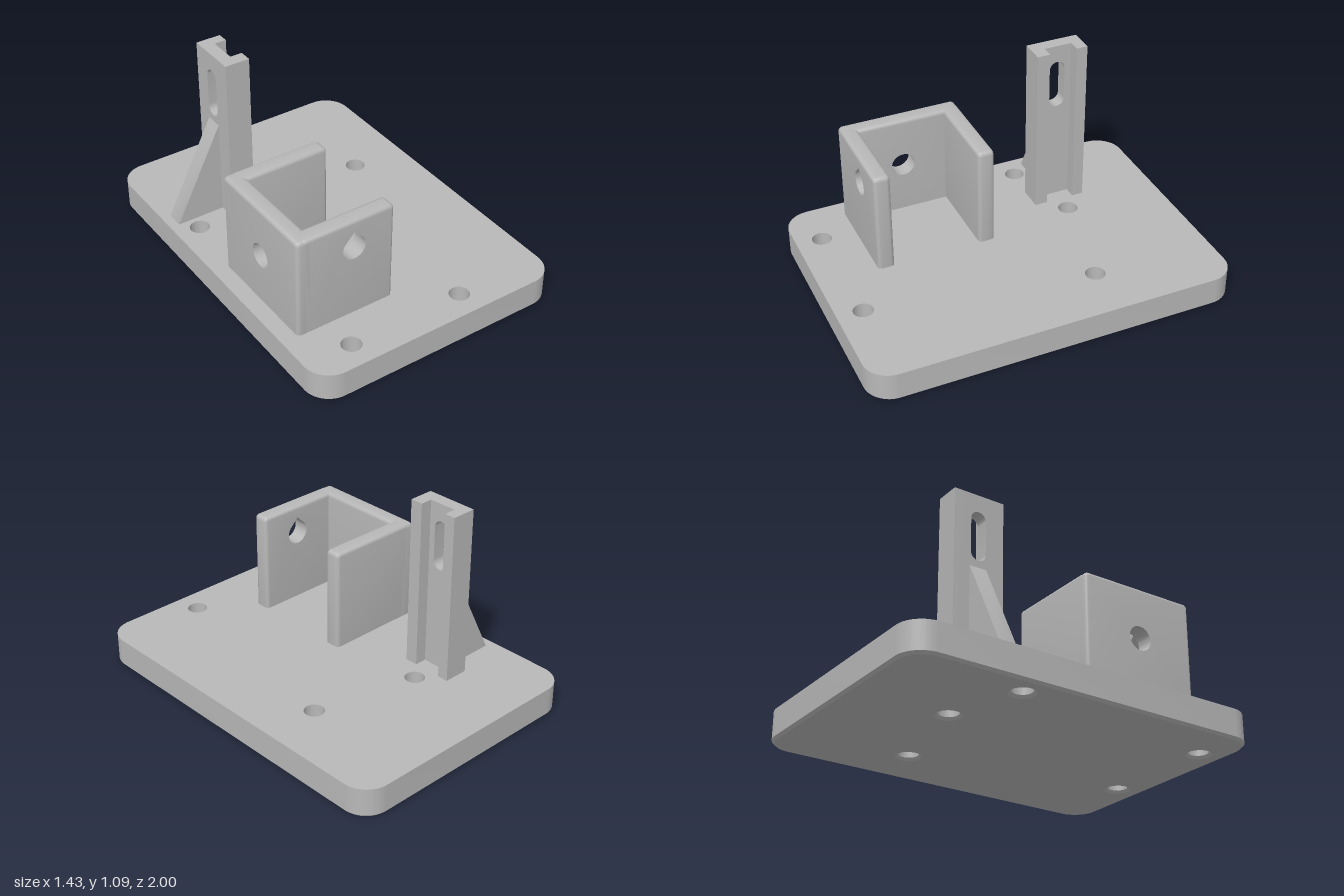
import * as THREE from 'three';
import { toCreasedNormals } from 'three/addons/utils/BufferGeometryUtils.js';

const PLATE_TOP = 0.163;
const HALF_PI = Math.PI / 2;

// Rectangle with rounded corners, given by its limits
function roundedRect(x0, y0, x1, y1, r) {
  const s = new THREE.Shape();
  s.absarc(x1 - r, y0 + r, r, -HALF_PI, 0);
  s.absarc(x1 - r, y1 - r, r, 0, HALF_PI);
  s.absarc(x0 + r, y1 - r, r, HALF_PI, Math.PI);
  s.absarc(x0 + r, y0 + r, r, Math.PI, 1.5 * Math.PI);
  s.closePath();
  return s;
}

// Radius of a round or teardrop hole at an angle measured from straight up
function holeRadius(r, teardrop, a) {
  const t = Math.abs(a);
  return teardrop && t < Math.PI / 4 ? r / Math.cos(Math.PI / 4 - t) : r;
}

function holePath({ x, y, r, teardrop }) {
  const pts = [];
  for (let i = 0; i < 48; i++) {
    const t = (i / 48) * 2 * Math.PI;
    const a = t > Math.PI ? t - 2 * Math.PI : t;
    const d = holeRadius(r, teardrop, a);
    pts.push(new THREE.Vector2(x + d * Math.sin(a), y + d * Math.cos(a)));
  }
  return new THREE.Path(pts);
}

// Wall with rounded outer edges and a straight, sharp-edged hole
function wallGeometry(x0, x1, y1, thickness, hole) {
  const b = 0.02;
  const shape = roundedRect(x0, 0.08, x1, y1, 0.024);
  if (hole) shape.holes.push(holePath(hole));
  const g = new THREE.ExtrudeGeometry(shape, {
    depth: thickness - 2 * b, bevelThickness: b, bevelSize: b, bevelOffset: -b,
    bevelSegments: 4, curveSegments: 6,
  });
  g.translate(0, 0, b);
  if (hole) {
    // Pull the rounded hole rim back to a straight bore
    const p = g.attributes.position;
    for (let i = 0; i < p.count; i++) {
      const dx = p.getX(i) - hole.x, dy = p.getY(i) - hole.y;
      const d = Math.hypot(dx, dy);
      if (d > 0.14) continue;
      const k = holeRadius(hole.r, hole.teardrop, Math.atan2(dx, dy)) / d;
      p.setXY(i, hole.x + dx * k, hole.y + dy * k);
    }
  }
  return g;
}

export function createModel() {
  const model = new THREE.Group();
  model.name = 'mountingBracket';
  const grey = new THREE.MeshStandardMaterial({ color: 0xb8b8b8 });
  grey.name = 'grey';

  const add = (name, geometry, parent = model) => {
    const mesh = new THREE.Mesh(toCreasedNormals(geometry, 0.55), grey);
    mesh.name = name;
    parent.add(mesh);
    return mesh;
  };
  const addGroup = (name) => {
    const g = new THREE.Group();
    g.name = name;
    model.add(g);
    return g;
  };
  const box = (x0, x1, y0, y1, z0, z1) =>
    new THREE.BoxGeometry(x1 - x0, y1 - y0, z1 - z0)
      .translate((x0 + x1) / 2, (y0 + y1) / 2, (z0 + z1) / 2);

  // Base plate with screw holes and a chamfered underside
  const base = addGroup('basePlate');
  const plan = roundedRect(-0.717, -1, 0.717, 1, 0.14);
  for (const [x, z] of [[-0.585, -0.33], [0.415, -0.33], [-0.165, -0.46], [-0.447, 0.86], [0.205, 0.86]]) {
    plan.holes.push(holePath({ x, y: z, r: 0.053 }));
  }
  const c = 0.014;
  add('plateBody', new THREE.ExtrudeGeometry(plan, {
    depth: PLATE_TOP - c, bevelEnabled: false, curveSegments: 12,
  }).rotateX(HALF_PI).translate(0, PLATE_TOP, 0), base);
  add('plateChamfer', new THREE.ExtrudeGeometry(plan, {
    depth: 0.002, bevelThickness: c, bevelSize: c, bevelOffset: -c, bevelSegments: 1, curveSegments: 12,
  }).rotateX(HALF_PI).translate(0, c + 0.002, 0), base);

  // Three-sided holder, open towards +x
  const holder = addGroup('holder');
  const top = 0.72, wall = 0.09;
  add('frontWall', wallGeometry(-0.6, -0.073, top, wall,
    { x: -0.304, y: 0.56, r: 0.065, teardrop: true }).translate(0, 0, 0.585), holder);
  add('rearWall', wallGeometry(-0.6, -0.073, top, wall).translate(0, 0, 0.019), holder);
  add('sideWall', wallGeometry(0.019, 0.675, top, wall, { x: 0.35, y: 0.443, r: 0.065 })
    .rotateY(-HALF_PI).translate(-0.628 + wall, 0, 0), holder);

  // Upright channel with a slotted web
  const post = addGroup('slottedPost');
  const postTop = 1.092, x0 = -0.397, x1 = -0.26, webX = -0.326;
  const z = [-0.595, -0.534, -0.379, -0.309];
  const web = new THREE.Shape();
  web.moveTo(z[1], 0.1).lineTo(z[2], 0.1).lineTo(z[2], postTop).lineTo(z[1], postTop).closePath();
  web.holes.push(roundedRect(-0.498, 0.728, -0.412, 0.997, 0.0429));
  add('postWeb', new THREE.ExtrudeGeometry(web, {
    depth: webX - x0, bevelEnabled: false, curveSegments: 12,
  }).rotateY(-HALF_PI).translate(webX, 0, 0), post);
  add('rearFlange', box(x0, x1, 0.1, postTop, z[0], z[1]), post);
  add('frontFlange', box(x0, x1, 0.1, postTop, z[2], z[3]), post);

  // Triangular rib bracing the post
  const rib = new THREE.Shape();
  rib.moveTo(-0.665, 0.1).lineTo(-0.38, 0.1).lineTo(-0.38, 0.69)
    .lineTo(-0.397, 0.69).lineTo(-0.665, PLATE_TOP).closePath();
  add('braceRib', new THREE.ExtrudeGeometry(rib, { depth: 0.095, bevelEnabled: false })
    .translate(0, 0, -0.504), post);

  return model;
}
